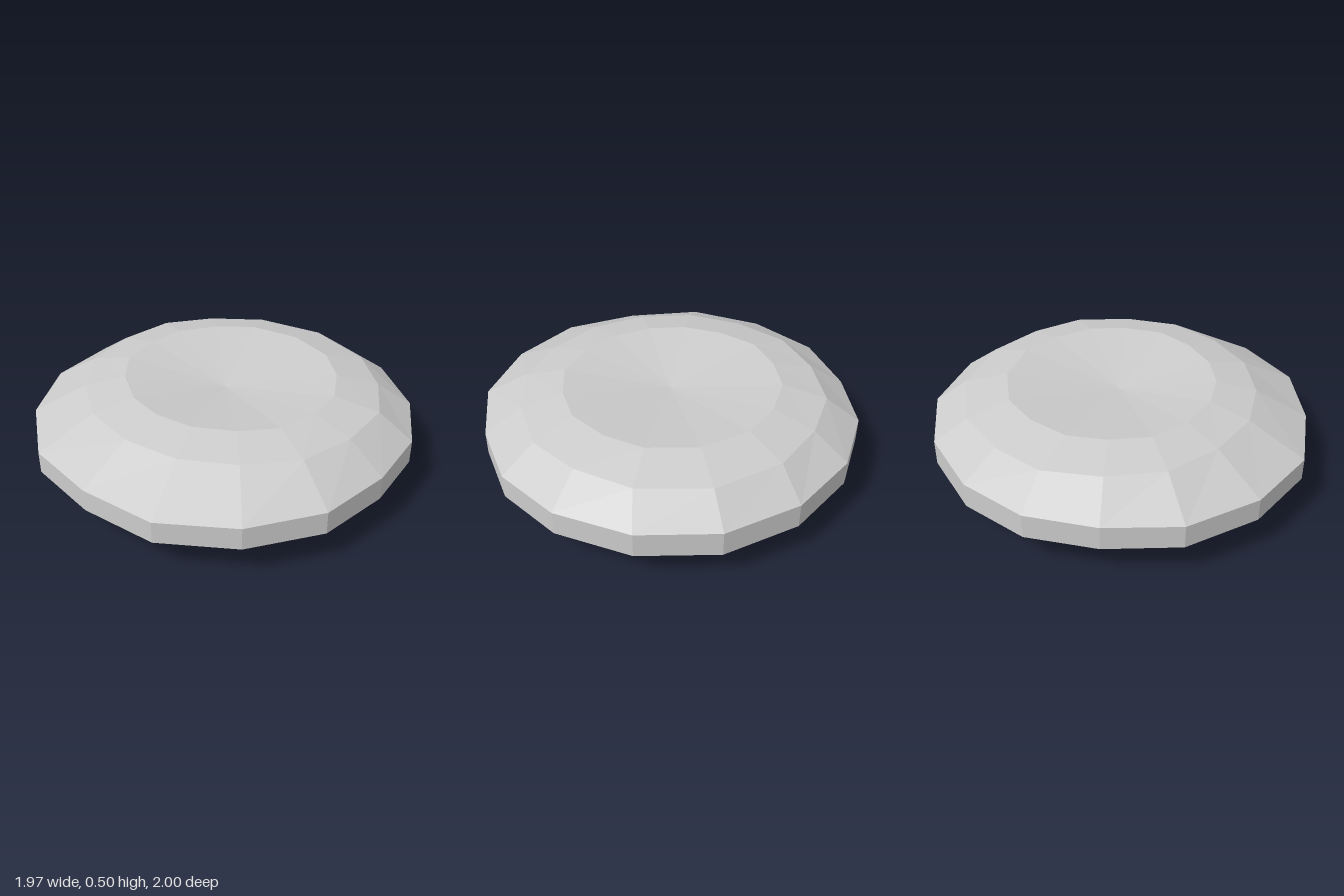
import * as THREE from 'three';

// Half outlines [x, z] from the front point round the left side to the back point
const RIM = [[0, 0.995], [0.4, 0.945], [0.73, 0.71], [0.945, 0.37], [0.985, -0.01], [0.93, -0.37], [0.73, -0.68], [0.4, -0.91], [0, -1]];
const SHOULDER = [[0, 0.72], [0.29, 0.67], [0.54, 0.51], [0.73, 0.28], [0.79, -0.01], [0.76, -0.31], [0.6, -0.545], [0.36, -0.74], [0, -0.83]];
const LIP = [[0, 0.51], [0.2, 0.475], [0.39, 0.36], [0.53, 0.2], [0.57, -0.01], [0.55, -0.21], [0.43, -0.4], [0.26, -0.54], [0, -0.6]];

// Full ring: mirror the half outline, with a slight tilt of the height along z
function ring(half, y, tilt = 0) {
  const mirrored = half.slice(1, -1).reverse().map(([x, z]) => [-x, z]);
  return [...half, ...mirrored].map(([x, z]) => [x, y + tilt * z, z]);
}

// Join stacked rings, closing both ends with a fan to a pole
function loft(rings, bottomPole, topPole) {
  const n = rings[0].length;
  const positions = [bottomPole, ...rings.flat(), topPole].flat();
  const at = (r, i) => 1 + r * n + (i % n);
  const top = 1 + rings.length * n;
  const index = [];
  for (let i = 0; i < n; i++) {
    index.push(0, at(0, i + 1), at(0, i));
    for (let r = 0; r < rings.length - 1; r++) {
      index.push(at(r, i), at(r, i + 1), at(r + 1, i + 1));
      index.push(at(r, i), at(r + 1, i + 1), at(r + 1, i));
    }
    index.push(at(rings.length - 1, i), at(rings.length - 1, i + 1), top);
  }
  const geometry = new THREE.BufferGeometry();
  geometry.setAttribute('position', new THREE.Float32BufferAttribute(positions, 3));
  geometry.setIndex(index);
  const flat = geometry.toNonIndexed();
  flat.computeVertexNormals();
  return flat;
}

export function createModel() {
  const group = new THREE.Group();
  group.name = 'dimpledDisc';

  // Faceted disc with a shallow dimple on top and underneath
  const geometry = loft(
    [
      ring(LIP, 0.002, -0.003),
      ring(SHOULDER, 0.054, -0.01),
      ring(RIM, 0.193, 0.006),
      ring(RIM, 0.317, -0.003),
      ring(SHOULDER, 0.452, 0.012),
      ring(LIP, 0.502, 0.002),
    ],
    [0, 0.07, 0],
    [0, 0.435, 0],
  );
  const material = new THREE.MeshStandardMaterial({ color: 0xcccccc, flatShading: true });
  const disc = new THREE.Mesh(geometry, material);
  disc.name = 'disc';
  group.add(disc);
  return group;
}
